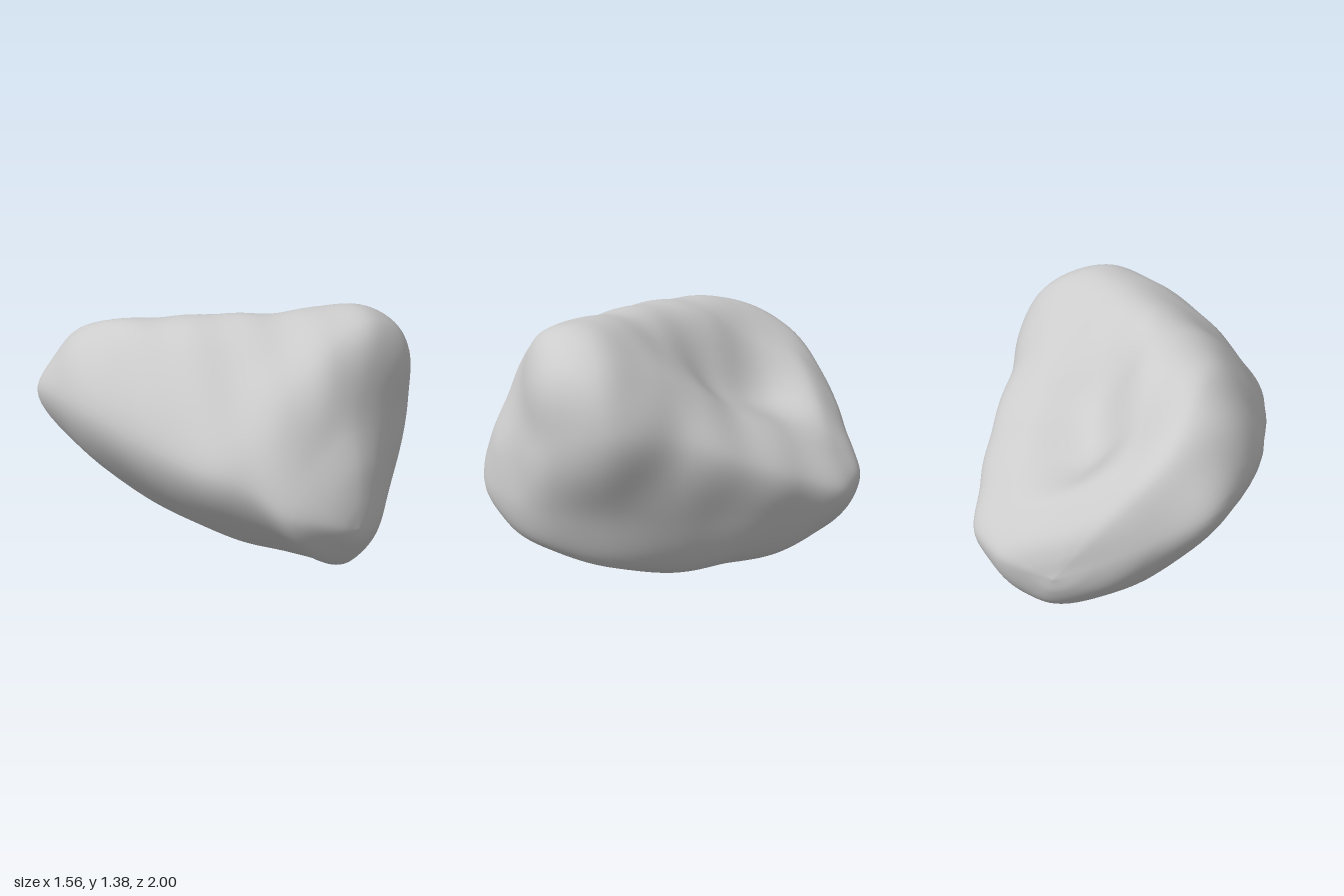
import * as THREE from 'three';
import { mergeVertices } from 'three/addons/utils/BufferGeometryUtils.js';

// Cross-sections from front to back. Each loop of x, y pairs runs:
// keel, lower left, left side, left rim, inner rim, hollow, ridge, shoulder, right side, right slope
const SECTIONS = [
  { z: 0.86, p: [0, .2, .18, .28, .28, .45, .28, .66, .19, .84, .02, .92, -.17, .86, -.33, .73, -.42, .56, -.25, .33] },
  { z: 0.7, p: [.08, .14, .34, .23, .49, .5, .62, .9, .56, 1.2, .32, 1.33, 0, 1.24, -.32, 1, -.52, .68, -.28, .34] },
  { z: 0.47, p: [.15, .075, .43, .16, .61, .5, .78, .95, .65, 1.24, .33, 1.385, -.04, 1.31, -.41, 1.07, -.64, .73, -.33, .31] },
  { z: 0.1, p: [.2, .012, .5, .12, .65, .45, .71, .88, .52, 1.1, .19, 1.22, -.13, 1.345, -.48, 1.22, -.72, .8, -.36, .28] },
  { z: -0.22, p: [.2, .018, .48, .13, .63, .43, .68, .74, .44, .91, .1, .95, -.19, 1.26, -.51, 1.28, -.77, .87, -.39, .31] },
  { z: -0.5, p: [.18, .05, .44, .15, .59, .4, .62, .62, .41, .78, .02, .84, -.23, 1.1, -.5, 1.25, -.77, .9, -.41, .37] },
  { z: -0.78, p: [.12, .15, .34, .21, .49, .36, .53, .5, .36, .65, .04, .82, -.22, .99, -.46, 1.08, -.68, .86, -.37, .42] },
];
const AROUND = 112;
const ALONG = 120;

// Smooth closed outline of one section, shrunk towards a tip when scale < 1
function ring({ p }, z, scale = 1, tip = [0, 0]) {
  const points = [];
  for (let i = 0; i < p.length; i += 2) {
    points.push(new THREE.Vector3(
      tip[0] + (p[i] - tip[0]) * scale,
      tip[1] + (p[i + 1] - tip[1]) * scale,
      z));
  }
  const curve = new THREE.CatmullRomCurve3(points, true);
  return Array.from({ length: AROUND }, (_, j) => curve.getPoint(j / AROUND));
}

// Gentle weathered ripples
function ripple(v) {
  const diagonal = Math.sin(13 * v.x + 9 * v.y + 12 * v.z + 2 * Math.sin(4 * v.y - 3 * v.x));
  const lumps = Math.sin(9 * v.x + 1) * Math.sin(10 * v.y) * Math.sin(8 * v.z + 2);
  return 1 + 0.005 * diagonal + 0.006 * lumps;
}

function rockGeometry() {
  const first = SECTIONS[0];
  const last = SECTIONS[SECTIONS.length - 1];
  const frontTip = [-0.1, 0.47];
  const backTip = [0.03, 0.47];

  // Rounded ends are shrunken copies of the end sections
  const rows = [
    ...[[1, 0], [0.988, 0.28], [0.95, 0.58]].map(([z, s]) => ring(first, z, s, frontTip)),
    ...SECTIONS.map((s) => ring(s, s.z)),
    ...[[-0.92, 0.66], [-0.982, 0.3], [-1, 0]].map(([z, s]) => ring(last, z, s, backTip)),
  ];

  // Skin the sections lengthwise with smooth curves
  const columns = Array.from({ length: AROUND }, (_, j) =>
    new THREE.CatmullRomCurve3(rows.map((r) => r[j])));
  const centre = new THREE.Vector3(0, 0.65, 0);
  const positions = [];
  const index = [];
  for (let i = 0; i <= ALONG; i++) {
    for (let j = 0; j < AROUND; j++) {
      const v = columns[j].getPoint(i / ALONG).sub(centre);
      v.multiplyScalar(ripple(v)).add(centre);
      positions.push(v.x, v.y, v.z);
      if (i === ALONG) continue;
      const a = i * AROUND + j;
      const b = i * AROUND + (j + 1) % AROUND;
      const c = a + AROUND;
      const d = b + AROUND;
      // Single triangles where the skin closes at each tip
      if (i > 0) index.push(a, c, b);
      if (i < ALONG - 1) index.push(b, c, d);
    }
  }
  const geometry = new THREE.BufferGeometry();
  geometry.setAttribute('position', new THREE.Float32BufferAttribute(positions, 3));
  geometry.setIndex(index);
  const merged = mergeVertices(geometry, 1e-5);
  merged.computeVertexNormals();
  return merged;
}

export function createModel() {
  const group = new THREE.Group();
  group.name = 'boulder';
  const rock = new THREE.Mesh(rockGeometry(), new THREE.MeshStandardMaterial({ color: 0xcccccc }));
  rock.name = 'rock';
  group.add(rock);
  return group;
}
